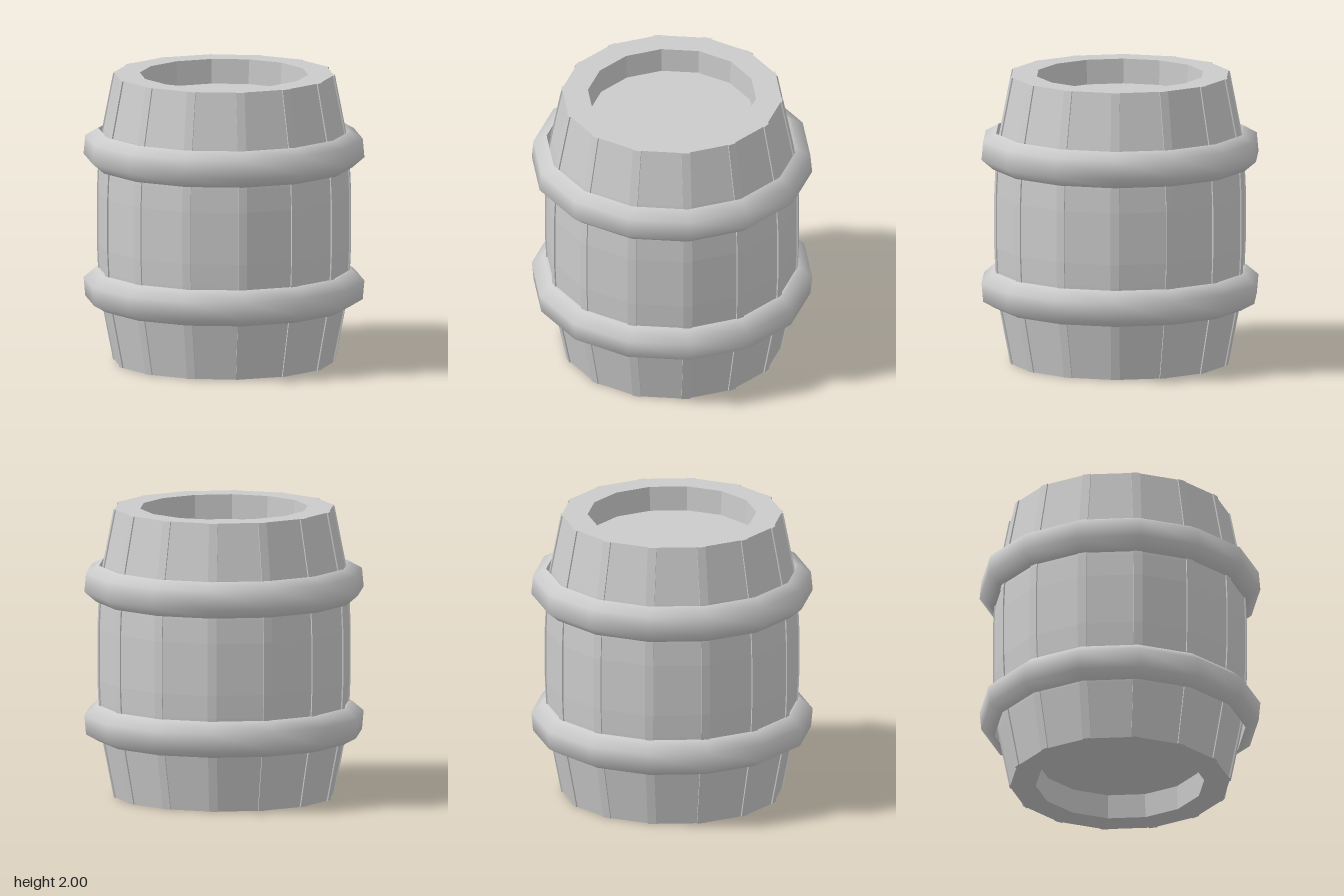
import * as THREE from 'three';

const SIDES = 14;
const v = (x, y) => new THREE.Vector2(x, y);
const flat = new THREE.MeshStandardMaterial({ color: 0xcccccc, flatShading: true });
const smooth = new THREE.MeshStandardMaterial({ color: 0xcccccc });

// Bulging outline of the barrel, bottom to top (radius, height)
const half = [[0.758, 0], [0.834, 0.39], [0.851, 0.5], [0.863, 0.66], [0.87, 0.82]];
const outline = [
  ...half.map(([r, y]) => v(r, y)),
  ...half.map(([r, y]) => v(r, 2 - y)).reverse(),
];

function add(parent, name, geometry, material) {
  const mesh = new THREE.Mesh(geometry, material);
  mesh.name = name;
  parent.add(mesh);
  return mesh;
}

// Turned profile; mirrored top to bottom when flip is set
function turned(points, flip) {
  const p = flip ? points.map((q) => v(q.x, 2 - q.y)).reverse() : points;
  return new THREE.LatheGeometry(p, SIDES);
}

export function createModel() {
  const barrel = new THREE.Group();
  barrel.name = 'barrel';

  // Faceted staves with a recessed lid at each end
  add(barrel, 'staves', turned([
    v(0, 0.17), v(0.57, 0.17), v(0.58, 0),
    ...outline,
    v(0.58, 2), v(0.57, 1.83), v(0, 1.83),
  ]), flat);

  // Narrow battens covering the joints between staves
  const section = new THREE.Shape([
    ...outline.map((p) => v(p.x + 0.003, p.y)),
    ...outline.map((p) => v(p.x - 0.04, p.y)).reverse(),
  ]);
  const battenGeometry = new THREE.ExtrudeGeometry(section, { depth: 0.06, bevelEnabled: false });
  battenGeometry.translate(0, 0, -0.03);
  const battens = new THREE.Group();
  battens.name = 'battens';
  barrel.add(battens);
  for (let i = 0; i < SIDES; i++) {
    const batten = add(battens, 'batten', battenGeometry, flat);
    batten.rotation.y = Math.PI / 2 + (i * 2 * Math.PI) / SIDES;
  }

  // Rounded hoops, standing slightly off the staves on their outer edge
  const hoopOuter = [v(0.85, 1.36), v(0.885, 1.36), v(0.967, 1.43), v(0.955, 1.56), v(0.865, 1.61)];
  const hoopInner = [v(0.865, 1.61), v(0.85, 1.36)];
  for (const flip of [false, true]) {
    const hoop = new THREE.Group();
    hoop.name = flip ? 'lowerHoop' : 'upperHoop';
    add(hoop, 'hoopOuterFace', turned(hoopOuter, flip), smooth);
    add(hoop, 'hoopInnerFace', turned(hoopInner, flip), smooth);
    barrel.add(hoop);
  }
  return barrel;
}
